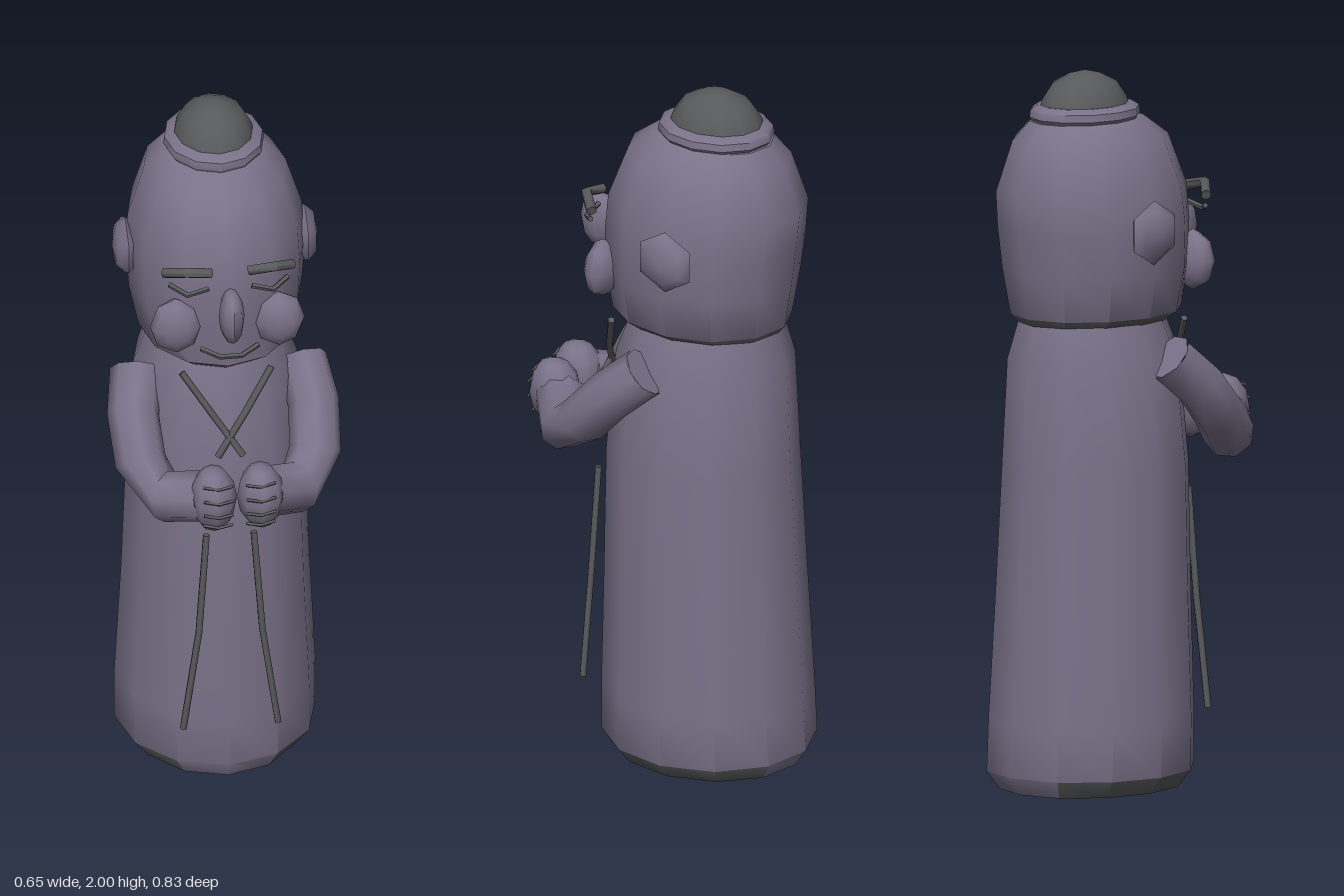
import * as THREE from 'three';
import { toCreasedNormals, mergeGeometries } from 'three/addons/utils/BufferGeometryUtils.js';

const stone = new THREE.MeshStandardMaterial({ color: 0x7a7289 });
stone.name = 'violet stone';
const dark = new THREE.MeshStandardMaterial({ color: 0x58595b });
dark.name = 'dark grey';

const SIDES = 12;

// Loft of elliptical rings, bottom to top: [y, half width, front z, back z].
function loft(name, rings, material, isDark) {
  const n = rings.length;
  const g = new THREE.LatheGeometry(rings.map(r => new THREE.Vector2(1, r[0])), SIDES);
  const p = g.attributes.position;
  for (let i = 0; i < p.count; i++) {
    const [y, rx, front, back] = rings[i % n];
    p.setXYZ(i, p.getX(i) * rx, y, (front + back) / 2 + p.getZ(i) * (front - back) / 2);
  }
  if (isDark) {
    for (let s = 0; s < SIDES; s++)
      for (let r = 0; r < n - 1; r++)
        g.addGroup((s * (n - 1) + r) * 6, 6, isDark(s, r) ? 1 : 0);
  }
  const mesh = new THREE.Mesh(toCreasedNormals(g, 0.75), isDark ? [stone, dark] : material);
  mesh.name = name;
  return mesh;
}

// Low-poly ellipsoid with its poles along the chosen axis.
function blob(name, pos, radii, sides, rows, axis = 'y') {
  const g = new THREE.SphereGeometry(1, sides, rows);
  if (axis === 'x') g.rotateZ(Math.PI / 2);
  if (axis === 'z') g.rotateX(Math.PI / 2);
  g.scale(...radii).translate(...pos);
  const mesh = new THREE.Mesh(toCreasedNormals(g, 1.1), stone);
  mesh.name = name;
  return mesh;
}

// Capped tube through a few points.
function rod(name, points, radius, material, sides = 6, steps = points.length - 1) {
  const curve = new THREE.CatmullRomCurve3(points.map(q => new THREE.Vector3(...q)));
  const parts = [new THREE.TubeGeometry(curve, steps, radius, sides)];
  for (const t of [0, 1]) {
    const at = curve.getPointAt(t);
    const dir = curve.getTangentAt(t).multiplyScalar(t ? 1 : -1);
    const turn = new THREE.Quaternion().setFromUnitVectors(new THREE.Vector3(0, 0, 1), dir);
    const cap = new THREE.CircleGeometry(radius, sides);
    parts.push(cap.applyQuaternion(turn).translate(at.x, at.y, at.z));
  }
  const mesh = new THREE.Mesh(toCreasedNormals(mergeGeometries(parts), 1.1), material);
  mesh.name = name;
  return mesh;
}

export function createModel() {
  const model = new THREE.Group();
  model.name = 'figurine';
  const frontOrBack = s => [0, 5, 6, 11].includes(s);

  // Long robe with a dark underside and bevelled hem
  model.add(loft('robe', [
    [0, 0, -0.12, -0.12], [0, 0.235, 0.16, -0.385], [0.05, 0.28, 0.188, -0.418],
    [0.2, 0.28, 0.188, -0.41], [0.55, 0.262, 0.183, -0.39], [0.9, 0.25, 0.178, -0.37],
    [1.2, 0.228, 0.15, -0.357], [1.31, 0.185, 0.11, -0.33],
  ], stone, (s, r) => r === 0 || (r === 1 && !frontOrBack(s))));

  // Head with a dark lower jaw edge
  model.add(loft('head', [
    [1.29, 0, -0.11, -0.11], [1.29, 0.17, 0.115, -0.32], [1.325, 0.215, 0.165, -0.352],
    [1.45, 0.242, 0.182, -0.372], [1.57, 0.25, 0.183, -0.388], [1.67, 0.243, 0.175, -0.398],
    [1.81, 0.198, 0.12, -0.35], [1.865, 0.14, 0.045, -0.305], [1.88, 0, -0.13, -0.13],
  ], stone, (s, r) => r === 0 || (r === 1 && s !== 0 && s !== 11)));

  // Hair bun and the band around it
  model.add(loft('bunBand', [
    [1.855, 0.125, 0.02, -0.29], [1.875, 0.14, 0.032, -0.304], [1.895, 0.137, 0.028, -0.3],
    [1.908, 0.118, 0.008, -0.282], [1.908, 0, -0.137, -0.137],
  ], stone));
  model.add(loft('hairBun', [
    [1.89, 0.113, 0.002, -0.276], [1.92, 0.107, -0.008, -0.268], [1.965, 0.082, -0.04, -0.235],
    [1.99, 0.04, -0.09, -0.185], [2, 0, -0.137, -0.137],
  ], dark));

  // Nose and mouth
  model.add(blob('nose', [0, 1.525, 0.228], [0.036, 0.082, 0.062], 8, 6));
  model.add(rod('mouth', [
    [-0.08, 1.402, 0.187], [-0.03, 1.388, 0.215], [0.03, 1.388, 0.215], [0.08, 1.402, 0.187],
  ], 0.008, dark, 5));

  for (const [side, m] of [['left', 1], ['right', -1]]) {
    const flip = pts => pts.map(([x, y, z]) => [x * m, y, z]);

    // Face
    model.add(blob(side + 'Ear', [m * 0.25, 1.57, -0.112], [0.036, 0.09, 0.09], 6, 4, 'x'));
    model.add(blob(side + 'Cheek', [m * 0.143, 1.455, 0.142], [0.073, 0.085, 0.046], 8, 6, 'z'));
    model.add(rod(side + 'Eyebrow', flip([
      [0.178, 1.636, 0.158], [0.115, 1.662, 0.208], [0.053, 1.646, 0.192],
    ]), 0.015, dark));
    model.add(rod(side + 'Eye', flip([
      [0.165, 1.604, 0.168], [0.112, 1.588, 0.208], [0.06, 1.602, 0.2],
    ]), 0.008, dark, 5));

    // Bent sleeve and clasped hand
    model.add(rod(side + 'Arm', flip([
      [0.23, 1.212, -0.038], [0.253, 1.09, 0.1], [0.208, 0.965, 0.215], [0.08, 1.0, 0.31],
    ]), 0.072, stone, 8, 4));
    model.add(blob(side + 'Hand', [m * 0.066, 1.008, 0.335], [0.066, 0.097, 0.077], 8, 6));
    for (const y of [1.07, 1.032, 0.988, 0.948]) {
      const z = 0.335 + 0.074 * Math.sqrt(1 - ((y - 1.008) / 0.097) ** 2);
      model.add(rod(side + 'FingerLine', flip([
        [0.018, y, z - 0.008], [0.06, y - 0.004, z + 0.001], [0.1, y + 0.002, z - 0.008],
      ]), 0.005, dark, 4));
    }

    // Crossed collar and robe fold
    model.add(rod(side + 'Collar', flip([
      [0.125, 1.29, 0.125], [0.04, 1.17, 0.178], [-0.035, 1.06, 0.208],
    ]), 0.01, dark));
    model.add(rod(side + 'RobeFold', flip([
      [0.066, 0.805, 0.198], [0.088, 0.5, 0.208], [0.132, 0.192, 0.21],
    ]), 0.01, dark));
  }
  return model;
}
